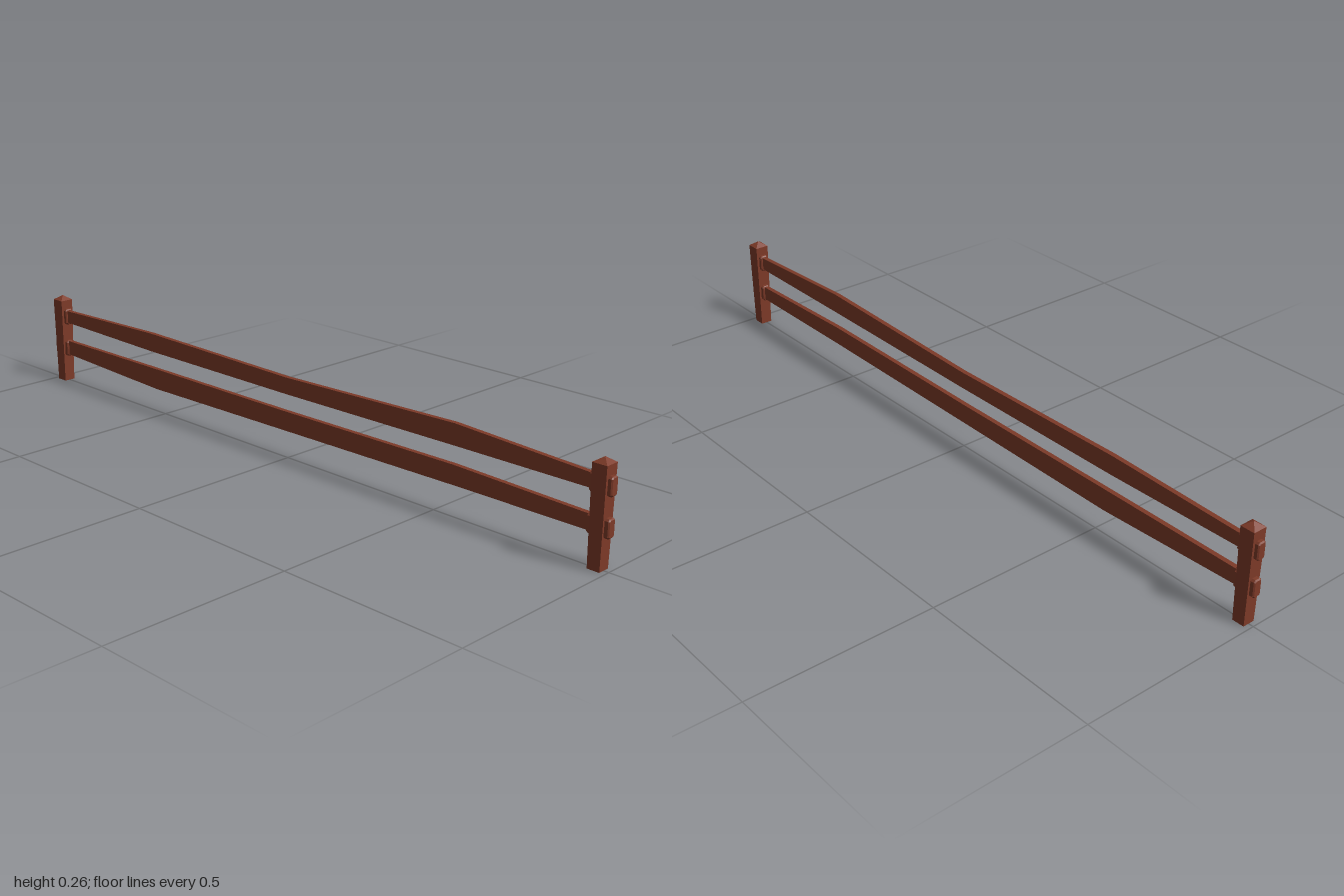
import * as THREE from 'three';

const wood = new THREE.MeshStandardMaterial({ color: 0x7d3a28, flatShading: true });

function add(parent, name, geometry) {
  const mesh = new THREE.Mesh(geometry, wood);
  mesh.name = name;
  parent.add(mesh);
  return mesh;
}

// Rail: a thin board whose top and bottom edges follow hewn, uneven heights
function railGeometry(stations) {
  const g = new THREE.BoxGeometry(0.013, 1, 1, 1, 1, stations.length - 1);
  const p = g.attributes.position;
  for (let i = 0; i < p.count; i++) {
    const k = Math.round((p.getZ(i) + 0.5) * (stations.length - 1));
    const [z, bottom, top] = stations[k];
    p.setY(i, p.getY(i) > 0 ? top : bottom);
    p.setZ(i, z);
  }
  g.computeVertexNormals();
  return g;
}

// Collar: a block with clipped corners and bevelled ends, running through the post
function collarGeometry() {
  const w = 0.009, h = 0.0205, c = 0.003, bevel = 0.003, length = 0.06;
  const s = new THREE.Shape([
    [-w + c, -h], [w - c, -h], [w, -h + c], [w, h - c],
    [w - c, h], [-w + c, h], [-w, h - c], [-w, -h + c],
  ].map(([x, y]) => new THREE.Vector2(x, y)));
  const g = new THREE.ExtrudeGeometry(s, {
    depth: length - 2 * bevel, bevelEnabled: true,
    bevelSize: bevel, bevelThickness: bevel, bevelSegments: 1,
  });
  return g.translate(0, 0, -length / 2 + bevel);
}

export function createModel() {
  const fence = new THREE.Group();
  fence.name = 'railFence';

  // Square posts, slightly wider at the top, with shallow pyramid caps
  for (const side of [1, -1]) {
    const post = new THREE.Group();
    post.name = side > 0 ? 'frontPost' : 'backPost';
    post.position.z = side * 0.97;
    fence.add(post);
    const r = Math.SQRT1_2;
    const shaft = new THREE.CylinderGeometry(0.039 * r, 0.033 * r, 0.25, 4, 1);
    add(post, 'shaft', shaft.rotateY(Math.PI / 4).translate(0, 0.125, 0));
    const cap = new THREE.ConeGeometry(0.039 * r, 0.013, 4, 1, true);
    add(post, 'cap', cap.rotateY(Math.PI / 4).translate(0, 0.2565, 0));
    for (const y of [0.103, 0.201]) add(post, 'railCollar', collarGeometry()).position.y = y;
  }

  // Rail stations: z, bottom height, top height
  add(fence, 'upperRail', railGeometry([
    [-0.999, 0.184, 0.219], [-0.95, 0.184, 0.219], [-0.55, 0.177, 0.229], [0, 0.177, 0.222],
    [0.56, 0.182, 0.237], [0.95, 0.184, 0.219], [0.999, 0.184, 0.219],
  ]));
  add(fence, 'lowerRail', railGeometry([
    [-0.999, 0.085, 0.122], [-0.95, 0.085, 0.126], [-0.53, 0.069, 0.128], [0, 0.076, 0.129],
    [0.56, 0.083, 0.134], [0.95, 0.085, 0.124], [0.999, 0.085, 0.122],
  ]));

  return fence;
}
